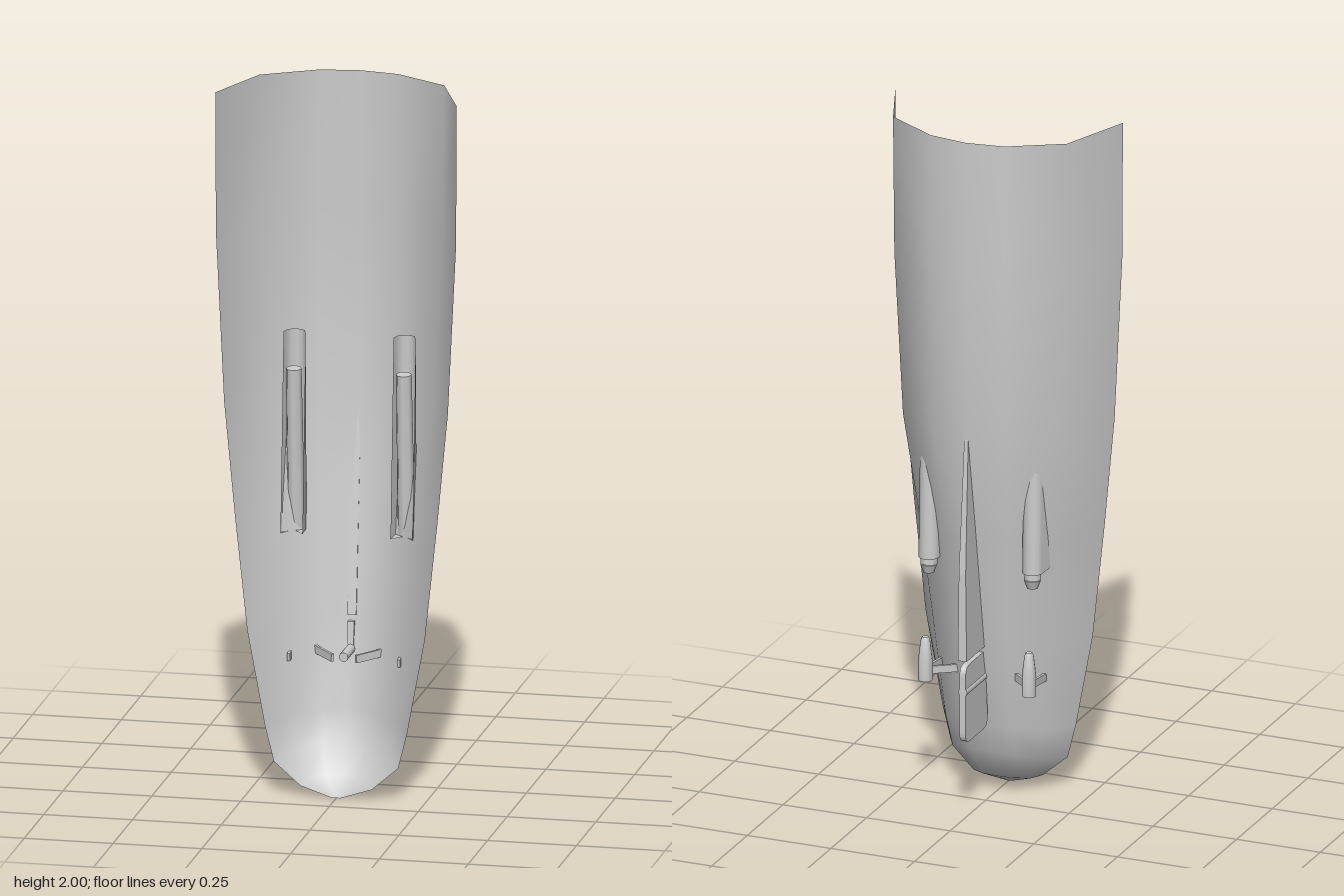
import * as THREE from 'three';
import { toCreasedNormals } from 'three/addons/utils/BufferGeometryUtils.js';

const solid = new THREE.MeshStandardMaterial({ color: 0xcccccc });
const sheet = new THREE.MeshStandardMaterial({ color: 0xcccccc, side: THREE.DoubleSide });

function add(parent, name, geometry, material = solid) {
  const mesh = new THREE.Mesh(geometry, material);
  mesh.name = name;
  parent.add(mesh);
  return mesh;
}

// Surface through rows of equally many [x, y, z] points
function loft(rows) {
  const n = rows[0].length, index = [];
  for (let r = 0; r < rows.length - 1; r++) {
    for (let i = 0; i < n - 1; i++) {
      const a = r * n + i, b = a + n;
      index.push(a, b, a + 1, a + 1, b, b + 1);
    }
  }
  const g = new THREE.BufferGeometry();
  g.setAttribute('position', new THREE.Float32BufferAttribute(rows.flat(2), 3));
  g.setIndex(index);
  g.computeVertexNormals();
  return g;
}

// Plate in the z-y plane, centred on x = 0; the shape's x is z
function plate(shape, thickness) {
  const g = new THREE.ExtrudeGeometry(shape, { depth: thickness, bevelEnabled: false, curveSegments: 5 });
  return g.translate(0, 0, -thickness / 2).rotateY(-Math.PI / 2);
}

// Places a geometry built along y between two points
function between(mesh, a, b) {
  const dir = b.clone().sub(a).normalize();
  mesh.position.copy(a).add(b).multiplyScalar(0.5);
  mesh.quaternion.setFromUnitVectors(new THREE.Vector3(0, 1, 0), dir);
  return mesh;
}

function hullGeometry() {
  // deck [x, y], chine [x, z], bilge [x, z], keel [y, z]
  const stations = [
    [0.01, 0.005, 0.007, 0.163, 0.004, 0.162, 0.005, 0.161],
    [0.10, 0.035, 0.085, 0.115, 0.045, 0.085, 0.05, 0.075],
    [0.175, 0.10, 0.135, 0.085, 0.065, 0.043, 0.14, 0.034],
    [0.20, 0.20, 0.15, 0.072, 0.07, 0.025, 0.22, 0.012],
    [0.25, 0.47, 0.175, 0.05, 0.08, -0.02, 0.47, -0.043],
    [0.285, 0.80, 0.205, 0.02, 0.095, -0.06, 0.80, -0.09],
    [0.315, 1.12, 0.238, -0.022, 0.108, -0.115, 1.12, -0.136],
    [0.338, 1.60, 0.257, -0.038, 0.11, -0.127, 1.60, -0.143],
    [0.34, 2.00, 0.26, -0.04, 0.11, -0.127, 2.00, -0.143],
  ];
  return loft(stations.map(([dx, dy, cx, cz, bx, bz, ky, kz]) => {
    const half = [[dx, dy, 0.165], [cx, dy + (ky - dy) * 0.4, cz], [bx, dy + (ky - dy) * 0.8, bz]];
    const mirrored = half.map(([x, y, z]) => [-x, y, z]).reverse();
    return [...half, [0, ky, kz], ...mirrored];
  }));
}

// U-shaped trough, open to the front, closed by a plate at its lower end
function troughGeometry() {
  const section = (y, front, back) => {
    const row = [[0.031, y, front]];
    for (let i = 0; i <= 6; i++) {
      const a = (i / 6) * Math.PI;
      row.push([0.028 * Math.cos(a), y, back + 0.026 * (1 - Math.sin(a))]);
    }
    row.push([-0.031, y, front]);
    return row;
  };
  const low = section(0.715, 0.03, -0.064);
  const cap = low.map(() => [0, 0.715, -0.01]);
  return toCreasedNormals(loft([cap, low, section(1.28, -0.01, -0.045)]), 0.6);
}

export function createModel() {
  const model = new THREE.Group();
  add(model, 'hull', hullGeometry(), sheet);

  // Fin along the keel, thinner towards its upper tip
  const finShape = new THREE.Shape([
    [-0.137, 1.12], [-0.165, 0.73], [-0.165, 0.475], [-0.035, 0.475],
  ].map(([z, y]) => new THREE.Vector2(z, y)));
  const fin = plate(finShape, 0.026);
  const p = fin.attributes.position;
  for (let i = 0; i < p.count; i++) p.setX(i, p.getX(i) * (1 - 0.55 * (p.getY(i) - 0.475) / 0.645));
  fin.computeVertexNormals();
  add(model, 'keelFin', fin);

  // Rudder blade with rounded corners, and its stock
  const z0 = -0.163, z1 = -0.007, y0 = 0.23, y1 = 0.458, r = 0.03;
  const blade = new THREE.Shape();
  blade.moveTo(z0 + r, y0);
  blade.lineTo(z1 - r, y0);
  blade.quadraticCurveTo(z1, y0, z1, y0 + r);
  blade.lineTo(z1 - 0.02, y1);
  blade.lineTo(z0 + r, y1);
  blade.quadraticCurveTo(z0, y1, z0, y1 - r);
  blade.lineTo(z0, y0 + r);
  blade.quadraticCurveTo(z0, y0, z0 + r, y0);
  add(model, 'rudder', plate(blade, 0.018));
  const stock = new THREE.CylinderGeometry(0.013, 0.013, 0.232, 12).rotateX(Math.PI / 2);
  add(model, 'rudderStock', stock).position.set(0, 0.382, -0.046);

  // Shaft tunnels and propeller-shaft brackets on both sides
  const trough = troughGeometry();
  const V = (x, y, z) => new THREE.Vector3(x, y, z);
  for (const s of [1, -1]) {
    const side = new THREE.Group();
    side.name = s > 0 ? 'leftDrive' : 'rightDrive';
    model.add(side);
    const x = 0.155 * s;

    add(side, 'shaftTunnel', trough, sheet).position.x = x;
    between(add(side, 'shaftTube', new THREE.CylinderGeometry(0.022, 0.025, 0.485, 8)),
      V(x, 0.695, -0.035), V(x, 1.18, 0.0));
    add(side, 'shaftEnd', new THREE.CylinderGeometry(0.025, 0.016, 0.025, 8))
      .position.set(x, 0.683, -0.036);

    const hub = new THREE.LatheGeometry([
      [0, 0.36], [0.02, 0.36], [0.02, 0.42], [0.013, 0.478], [0.009, 0.487], [0, 0.49],
    ].map(([rad, y]) => new THREE.Vector2(rad, y)), 12);
    add(side, 'bracketHub', toCreasedNormals(hub, 0.6)).position.set(x, 0, -0.06);

    // Two flat struts from the hub through the hull
    const root = V(x, 0.388, -0.06);
    for (const [name, tip] of [['outerStrut', V(x, 0.372, 0.068)], ['innerStrut', V(0.033 * s, 0.376, 0.06)]]) {
      const dir = tip.clone().sub(root);
      const strut = add(side, name, new THREE.BoxGeometry(0.008, 0.022, dir.length()));
      strut.position.copy(root).addScaledVector(dir, 0.5);
      strut.lookAt(tip);
    }
  }
  return model;
}
